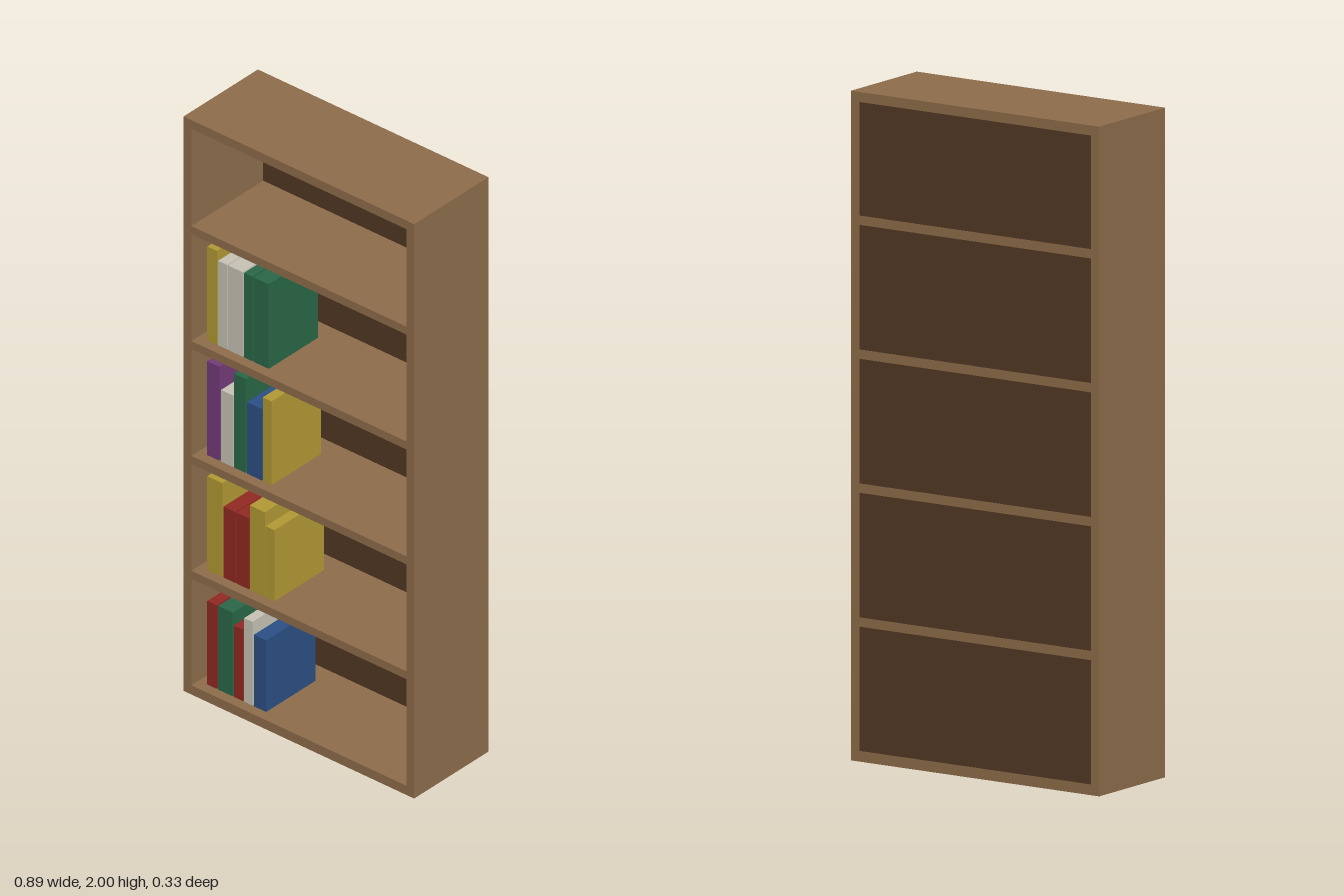
import * as THREE from 'three';

const mat = (name, color) => {
  const m = new THREE.MeshStandardMaterial({ color });
  m.name = name;
  return m;
};

export function createModel() {
  const wood = mat('wood', 0x8f6e4b);
  const backWood = mat('dark wood', 0x543924);
  const covers = {
    red: mat('red cover', 0x922a22),
    green: mat('green cover', 0x2a6848),
    yellow: mat('yellow cover', 0xb39a34),
    white: mat('white cover', 0xc8c4b6),
    blue: mat('blue cover', 0x2c5086),
    purple: mat('purple cover', 0x743c7a),
  };
  const group = new THREE.Group();
  group.name = 'bookcase';

  // box given by its limits on each axis
  const box = (name, material, [x0, x1], [y0, y1], [z0, z1], parent = group) => {
    const mesh = new THREE.Mesh(new THREE.BoxGeometry(x1 - x0, y1 - y0, z1 - z0), material);
    mesh.position.set((x0 + x1) / 2, (y0 + y1) / 2, (z0 + z1) / 2);
    mesh.name = name;
    parent.add(mesh);
  };

  const W = 0.4444, D = 0.1667, T = 0.03;
  const inner = [-W + T, W - T], depth = [-D, D];

  // carcass
  box('rightSide', wood, [-W, -W + T], [0, 2], depth);
  box('leftSide', wood, [W - T, W], [0, 2], depth);
  box('topBoard', wood, inner, [2 - T, 2], depth);
  box('bottomBoard', wood, inner, [0, T + 0.002], depth);

  // shelves
  const shelfTops = [T + 0.002];
  for (let i = 1; i <= 4; i++) {
    const y = i * 0.4 + 0.003;
    box('shelf' + i, wood, inner, [y, y + 0.0278], depth);
    shelfTops.push(y + 0.0278);
  }

  // back panels, one per bay, just inside the shelf edges
  for (let i = 0; i < 5; i++) {
    const top = i < 4 ? (i + 1) * 0.4 + 0.003 : 2 - T;
    box('backPanel' + i, backWood, inner, [shelfTops[i], top], [-D + 0.0005, -D + 0.011]);
  }

  // books per shelf: colour, x start, x end, top height
  const rows = [
    [['red', -0.382, -0.345, 0.323], ['green', -0.340, -0.284, 0.323], ['red', -0.279, -0.245, 0.281],
      ['white', -0.240, -0.208, 0.323], ['blue', -0.202, -0.155, 0.281]],
    [['yellow', -0.382, -0.324, 0.757], ['red', -0.319, -0.273, 0.678], ['red', -0.270, -0.222, 0.678],
      ['yellow', -0.218, -0.160, 0.725], ['yellow', -0.157, -0.123, 0.678]],
    [['purple', -0.382, -0.335, 1.158], ['white', -0.329, -0.282, 1.08], ['green', -0.279, -0.234, 1.158],
      ['blue', -0.229, -0.171, 1.08], ['yellow', -0.168, -0.134, 1.122]],
    [['yellow', -0.382, -0.345, 1.557], ['white', -0.340, -0.305, 1.525], ['white', -0.302, -0.245, 1.525],
      ['green', -0.240, -0.208, 1.525], ['green', -0.203, -0.145, 1.525]],
  ];
  rows.forEach((row, i) => {
    const books = new THREE.Group();
    books.name = 'bookRow' + i;
    row.forEach(([c, x0, x1, top]) =>
      box(c + 'Book', covers[c], [x0, x1], [shelfTops[i], top], [-0.089, 0.133], books));
    group.add(books);
  });

  return group;
}
